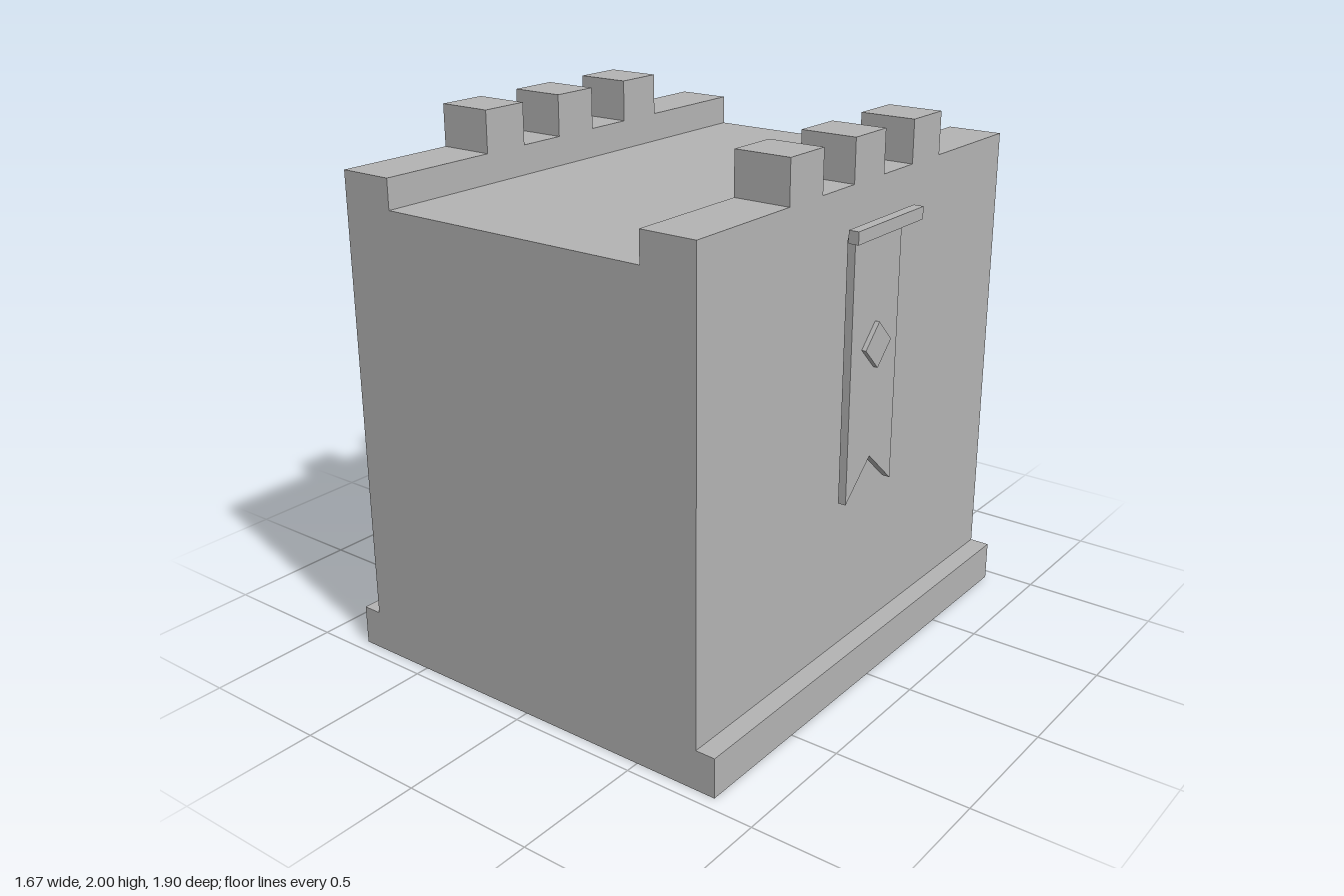
import * as THREE from 'three';

const W = 0.745, BASE = 0.82, D = 0.95, BASE_H = 0.15;

export function createModel() {
  const model = new THREE.Group();
  model.name = 'castleGatehouse';
  const stone = new THREE.MeshStandardMaterial({ color: 0xb4b4b4 });
  stone.name = 'grey stone';

  const add = (name, geometry, x = 0, y = 0, z = 0) => {
    const mesh = new THREE.Mesh(geometry, stone);
    mesh.name = name;
    mesh.position.set(x, y, z);
    model.add(mesh);
    return mesh;
  };
  const box = (name, x0, x1, y0, y1, z0, z1) =>
    add(name, new THREE.BoxGeometry(x1 - x0, y1 - y0, z1 - z0),
      (x0 + x1) / 2, (y0 + y1) / 2, (z0 + z1) / 2);
  const extrude = (points, depth) => new THREE.ExtrudeGeometry(
    new THREE.Shape(points.map(p => new THREE.Vector2(...p))),
    { depth, bevelEnabled: false });

  // Main block with a sunken roof between two parapets
  add('body', extrude([
    [-W, BASE_H], [W, BASE_H], [W, 1.845], [0.535, 1.845],
    [0.535, 1.735], [-0.535, 1.735], [-0.535, 1.845], [-W, 1.845],
  ], 2 * D), 0, 0, -D);

  // Hollow base: side ledges, outer skirt and thin ribs underneath
  const t = 0.006;
  for (const s of [-1, 1]) {
    const a = s * W, b = s * BASE;
    box('baseLedge', Math.min(a, b), Math.max(a, b), BASE_H - t, BASE_H, -D, D);
    box('baseSide', s * (BASE - t / 2) - t / 2, s * (BASE - t / 2) + t / 2, 0, BASE_H, -D, D);
    box('baseEnd', -BASE, BASE, 0, BASE_H, s * (D - t / 2) - t / 2, s * (D - t / 2) + t / 2);
    box('lengthRib', s * 0.755 - t / 2, s * 0.755 + t / 2, 0, BASE_H - t, -D + t, D - t);
  }
  for (const z of [-0.83, -0.75, 0, 0.75, 0.83])
    box('crossRib', -BASE + t, BASE - t, 0, BASE_H - t, z - t / 2, z + t / 2);

  // Three merlons on each parapet
  for (const s of [-1, 1])
    for (const z of [-0.38, 0, 0.38])
      add('merlon', new THREE.BoxGeometry(0.21, 0.155, 0.19), s * 0.64, 1.9225, z);

  // Swallow-tailed banner, diamond badge and pole on each side
  const cloth = extrude([[-0.15, 0.73], [0, 0.865], [0.15, 0.73], [0.15, 1.68], [-0.15, 1.68]], 0.03);
  const diamond = extrude([[0, -0.083], [0.083, 0], [0, 0.083], [-0.083, 0]], 0.02);
  for (const s of [-1, 1]) {
    add('banner', cloth, s * 0.76).rotation.y = s * Math.PI / 2;
    add('bannerBadge', diamond, s * 0.787, 1.28).rotation.y = s * Math.PI / 2;
    add('bannerPole', new THREE.BoxGeometry(0.038, 0.045, 0.42), s * 0.818, 1.703, 0);
  }
  return model;
}
